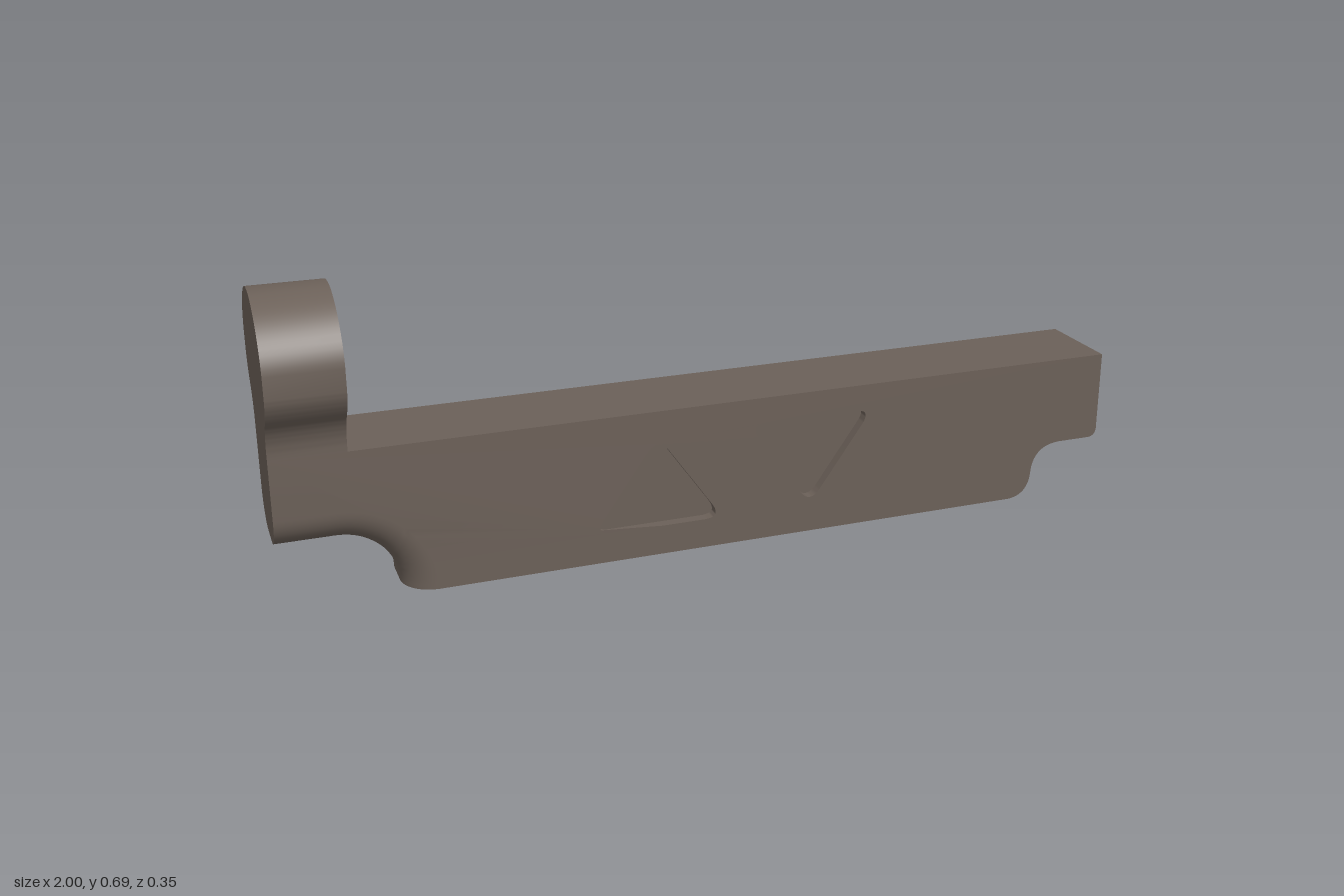
import * as THREE from 'three';
import { toCreasedNormals } from 'three/addons/utils/BufferGeometryUtils.js';

const W = 0.108;            // half width of the bar
const ROUND = 0.075;        // edge rounding along the cove under the head
const COVE = { x: -0.87, r: 0.137 };
const RECESS = 0.025;

// Triangle with rounded corners
function roundedTriangle(corners, cut, Type) {
  const path = new Type();
  const v = corners.map(([x, y]) => new THREE.Vector2(x, y));
  v.forEach((p, i) => {
    const toward = (q) => p.clone().add(q.clone().sub(p).setLength(cut));
    const a = toward(v[(i + 2) % 3]), b = toward(v[(i + 1) % 3]);
    if (i === 0) path.moveTo(a.x, a.y);
    else path.lineTo(a.x, a.y);
    path.quadraticCurveTo(p.x, p.y, b.x, b.y);
  });
  path.closePath();
  return path;
}

const triangles = [
  [[-0.305, 0.07], [0.005, 0.07], [-0.15, 0.29]],
  [[0.38, 0.288], [0.07, 0.288], [0.225, 0.068]],
];

function barGeometry() {
  const s = new THREE.Shape();
  s.moveTo(-1, COVE.r);
  s.lineTo(COVE.x, COVE.r);
  s.absarc(COVE.x, 0, COVE.r, Math.PI / 2, 0, true);
  s.lineTo(0.76, 0);
  s.quadraticCurveTo(0.815, 0.003, 0.82, 0.06);
  s.quadraticCurveTo(0.823, 0.132, 0.895, 0.135);
  s.lineTo(0.98, 0.135);
  s.quadraticCurveTo(0.998, 0.137, 1, 0.155);
  s.lineTo(1, 0.35);
  s.lineTo(-1, 0.35);
  s.closePath();
  triangles.forEach((t) => s.holes.push(roundedTriangle(t, 0.045, THREE.Path)));

  const geo = new THREE.ExtrudeGeometry(s, {
    depth: 2 * W, steps: 24, bevelEnabled: false, curveSegments: 14,
  });
  // Gather slices toward the sides and round the cove's edges
  const p = geo.attributes.position;
  for (let i = 0; i < p.count; i++) {
    let x = p.getX(i), y = p.getY(i);
    const z = W * Math.sin((p.getZ(i) / W - 1) * Math.PI / 2);
    const over = Math.max(0, Math.abs(z) - (W - ROUND));
    const inset = ROUND - Math.sqrt(Math.max(0, ROUND ** 2 - over ** 2));
    const dx = x - COVE.x, dist = Math.hypot(dx, y);
    if (dx <= 1e-4 && y < 0.2) {
      y += inset;
    } else if (Math.abs(dist - COVE.r) < 0.002) {
      x += (dx / dist) * inset;
      y += (y / dist) * inset;
    }
    p.setXYZ(i, x, y, z);
  }
  return toCreasedNormals(geo, 0.6);
}

// Round lobe on a flared neck, drawn in the z-y plane and extruded along x
function headGeometry() {
  const s = new THREE.Shape();
  s.moveTo(-W, 0.35);
  s.lineTo(W, 0.35);
  s.lineTo(W, 0.365);
  s.bezierCurveTo(0.11, 0.4, 0.125, 0.425, 0.14, 0.44);
  s.bezierCurveTo(0.155, 0.457, 0.172, 0.48, 0.174, 0.505);
  s.lineTo(0.174, 0.555);
  s.bezierCurveTo(0.17, 0.62, 0.1, 0.68, 0.02, 0.69);
  s.lineTo(-0.02, 0.69);
  s.bezierCurveTo(-0.1, 0.68, -0.17, 0.62, -0.174, 0.555);
  s.lineTo(-0.174, 0.505);
  s.bezierCurveTo(-0.172, 0.48, -0.155, 0.457, -0.14, 0.44);
  s.bezierCurveTo(-0.125, 0.425, -0.11, 0.4, -W, 0.365);
  s.closePath();
  const geo = new THREE.ExtrudeGeometry(s, { depth: 0.165, bevelEnabled: false, curveSegments: 14 });
  geo.rotateY(Math.PI / 2);
  geo.translate(-1, 0, 0);
  return toCreasedNormals(geo, 0.6);
}

export function createModel() {
  const group = new THREE.Group();
  const material = new THREE.MeshStandardMaterial({ color: 0x6b6058 });
  const add = (name, geometry) => {
    const mesh = new THREE.Mesh(geometry, material);
    mesh.name = name;
    group.add(mesh);
  };

  add('bar', barGeometry());
  add('head', headGeometry());

  // Floors of the triangular recesses on both sides
  triangles.forEach((t, i) => {
    const depth = 2 * (W - RECESS);
    const floor = new THREE.ExtrudeGeometry(roundedTriangle(t, 0.045, THREE.Shape), {
      depth, bevelEnabled: false, curveSegments: 14,
    });
    floor.translate(0, 0, -depth / 2);
    add(i === 0 ? 'upTriangleFloor' : 'downTriangleFloor', floor);
  });
  return group;
}
